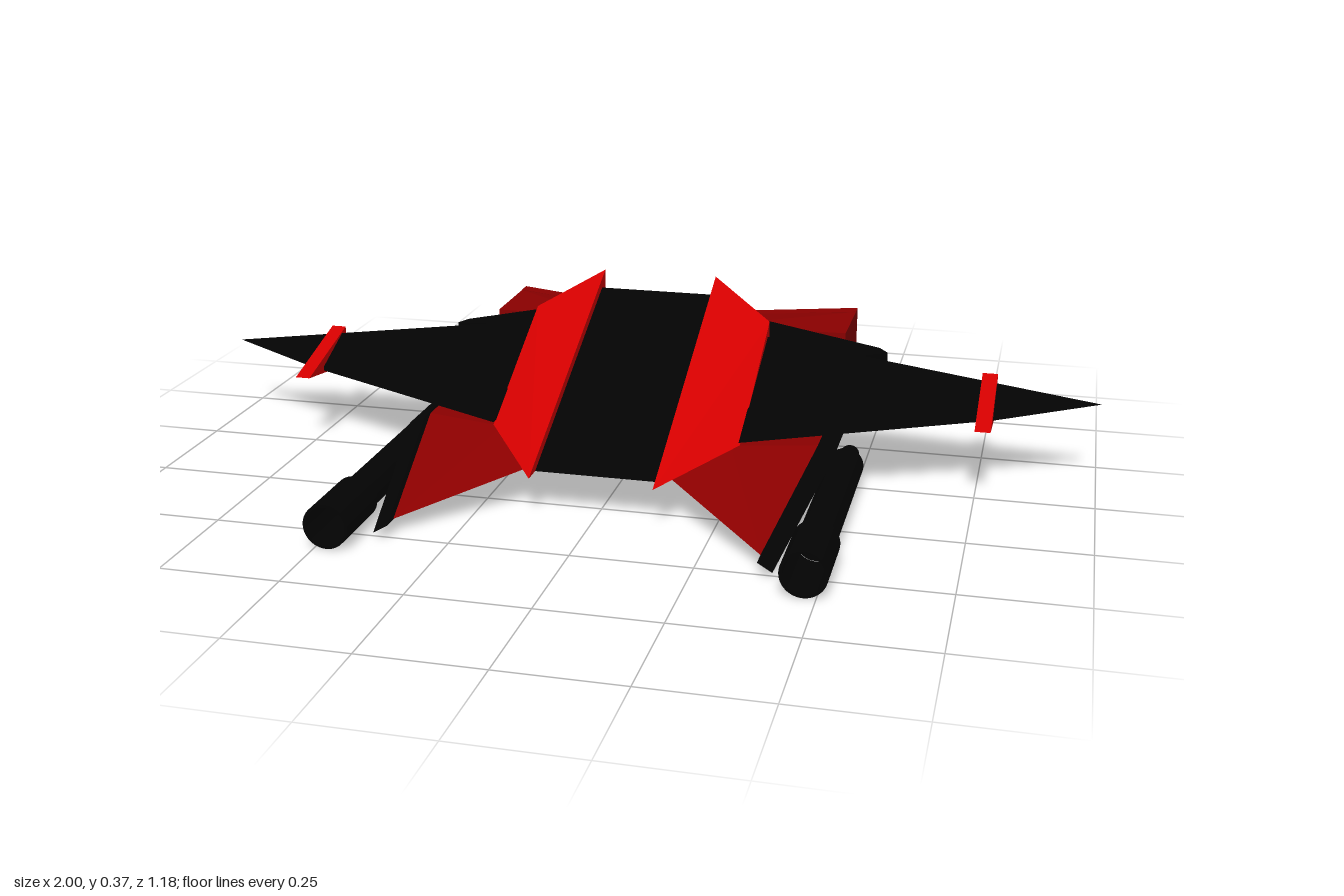
import * as THREE from 'three';
import { ConvexGeometry } from 'three/addons/geometries/ConvexGeometry.js';

export function createModel() {
  const mat = (name, color) => {
    const m = new THREE.MeshStandardMaterial({ color });
    m.name = name;
    return m;
  };
  const black = mat('black', 0x030303);
  const red = mat('bright red', 0xd40000);
  const darkRed = mat('dark red', 0x8b0000);
  const grey = mat('light grey', 0xe6e6e6);
  const model = new THREE.Group();
  model.name = 'spacecraft';

  const add = (name, geometry, material) => {
    const mesh = new THREE.Mesh(geometry, material);
    mesh.name = name;
    model.add(mesh);
    return mesh;
  };
  // Faceted convex solid from corner points, flipped in x by s
  const solid = (name, material, points, s = 1) =>
    add(name, new ConvexGeometry(points.map(([x, y, z]) => new THREE.Vector3(x * s, y, z))), material);
  // [z, y] profile spanning the hull width
  const across = (profile, w) => profile.flatMap(([z, y]) => [[-w, y, z], [w, y, z]]);
  // Rectangle outline, and a plate with rectangular openings
  const rect = (Type, [x0, y0, x1, y1]) => new Type(
    [[x0, y0], [x1, y0], [x1, y1], [x0, y1]].map(([x, y]) => new THREE.Vector2(x, y)));
  const frame = (outer, holes, depth) => {
    const shape = rect(THREE.Shape, outer);
    shape.holes = holes.map((h) => rect(THREE.Path, h));
    return new THREE.ExtrudeGeometry(shape, { depth, bevelEnabled: false });
  };

  // Central hull: sloping nose, keel block, and a rear plate with two exhaust openings
  solid('hull', black, across([[0.295, 0.09], [-0.25, 0.34], [-0.28, 0.33], [-0.48, 0.25], [-0.48, 0.088]], 0.13));
  solid('keel', black, across([[-0.08, 0.092], [-0.16, 0.02], [-0.43, 0.02], [-0.5, 0.089]], 0.13));
  add('hullRearFrame', frame([-0.13, 0.088, 0.13, 0.245],
    [[-0.083, 0.128, -0.047, 0.208], [0.047, 0.128, 0.083, 0.208]], 0.02), black).position.z = -0.5;

  for (const s of [1, -1]) {
    const side = s > 0 ? 'left' : 'right';

    // Red shoulder wedge beside the hull
    solid(side + 'Shoulder', red, [
      [0.13, 0.09, 0.34], [0.13, 0.375, -0.28], [0.13, 0.09, -0.28],
      [0.27, 0.127, 0.14], [0.27, 0.3, -0.2], [0.27, 0.127, -0.2],
    ], s);

    // Main wing tapering to a point, with a red band
    solid(side + 'Wing', black, [
      [0.268, 0.134, 0.145], [0.268, 0.271, -0.18], [0.268, 0.134, -0.18],
      [0.777, 0.155, -0.065], [0.777, 0.143, -0.172], [1, 0.178, -0.16],
    ], s);
    solid(side + 'WingBand', red, [0.744, 0.777].flatMap((x) => [
      [x, 0.16, 0.03], [x, 0.22, -0.19], [x, 0.127, -0.19],
    ]), s);

    // Drooping lower wing and its tilted end plate
    solid(side + 'LowerWing', darkRed, [
      [0.13, 0.09, 0.24], [0.25, 0.125, 0.14], [0.25, 0.125, -0.17], [0.13, 0.09, -0.17],
      [0.377, 0.03, 0.475], [0.43, 0.127, 0.1], [0.43, 0.127, -0.17], [0.377, 0.03, -0.08],
    ], s);
    solid(side + 'EndPlate', black, [
      [0.375, 0.03, 0.51], [0.43, 0.13, 0.13], [0.43, 0.13, -0.185], [0.375, 0.03, -0.085],
      [0.405, 0.012, 0.51], [0.465, 0.112, 0.13], [0.465, 0.112, -0.185], [0.405, 0.012, -0.075],
    ], s);

    // Cannon: barrel, tail rod and hollow muzzle
    for (const [name, r, front, back] of [['Barrel', 0.038, 0.43, -0.01], ['CannonTail', 0.02, 0, -0.08]]) {
      const g = new THREE.CylinderGeometry(r, r, front - back, 24).rotateX(Math.PI / 2);
      add(side + name, g, black).position.set(0.475 * s, 0.048, (front + back) / 2);
    }
    const ring = new THREE.Shape().absarc(0, 0, 0.047, 0, Math.PI * 2);
    ring.holes.push(new THREE.Path().absarc(0, 0, 0.041, 0, Math.PI * 2));
    const muzzle = new THREE.ExtrudeGeometry(ring, { depth: 0.16, bevelEnabled: false, curveSegments: 24 });
    add(side + 'Muzzle', muzzle, black).position.set(0.475 * s, 0.048, 0.425);

    // Swept rear fin
    solid(side + 'RearFin', black, [
      [0.13, 0.17, -0.23], [0.13, 0.31, -0.25], [0.2, 0.17, -0.21], [0.2, 0.255, -0.215],
      [0.5, 0.205, -0.372], [0.52, 0.2, -0.355], [0.5, 0.13, -0.372], [0.52, 0.13, -0.355],
    ], s);

    // Angled engine pod with a recessed exhaust in its rear frame
    solid(side + 'EnginePod', darkRed, [
      [0.125, 0.095, -0.27], [0.125, 0.262, -0.27], [0.125, 0.095, -0.455], [0.125, 0.237, -0.455],
      [0.42, 0.095, -0.37], [0.42, 0.235, -0.37], [0.42, 0.095, -0.555], [0.42, 0.235, -0.555],
    ], s);
    const podFrame = frame([0.125 * s, 0.095, 0.42 * s, 0.236], [[0.145 * s, 0.122, 0.397 * s, 0.212]], 0.035);
    const p = podFrame.attributes.position;
    for (let i = 0; i < p.count; i++) p.setZ(i, p.getZ(i) - 0.49 - (Math.abs(p.getX(i)) - 0.125) * 0.339);
    podFrame.computeVertexNormals();
    add(side + 'PodFrame', podFrame, darkRed);
    const slot = add(side + 'PodExhaust', new THREE.BoxGeometry(0.265, 0.09, 0.008), grey);
    slot.position.set(0.271 * s, 0.167, -0.506);
    slot.rotation.y = 0.327 * s;

    // Small recessed exhaust in the hull's rear
    add(side + 'HullExhaust', new THREE.BoxGeometry(0.036, 0.08, 0.008), grey).position.set(0.065 * s, 0.168, -0.48);
  }

  // Pale disc deep in the right muzzle
  add('muzzleDisc', new THREE.CircleGeometry(0.041, 24), grey).position.set(-0.475, 0.048, 0.433);
  return model;
}
